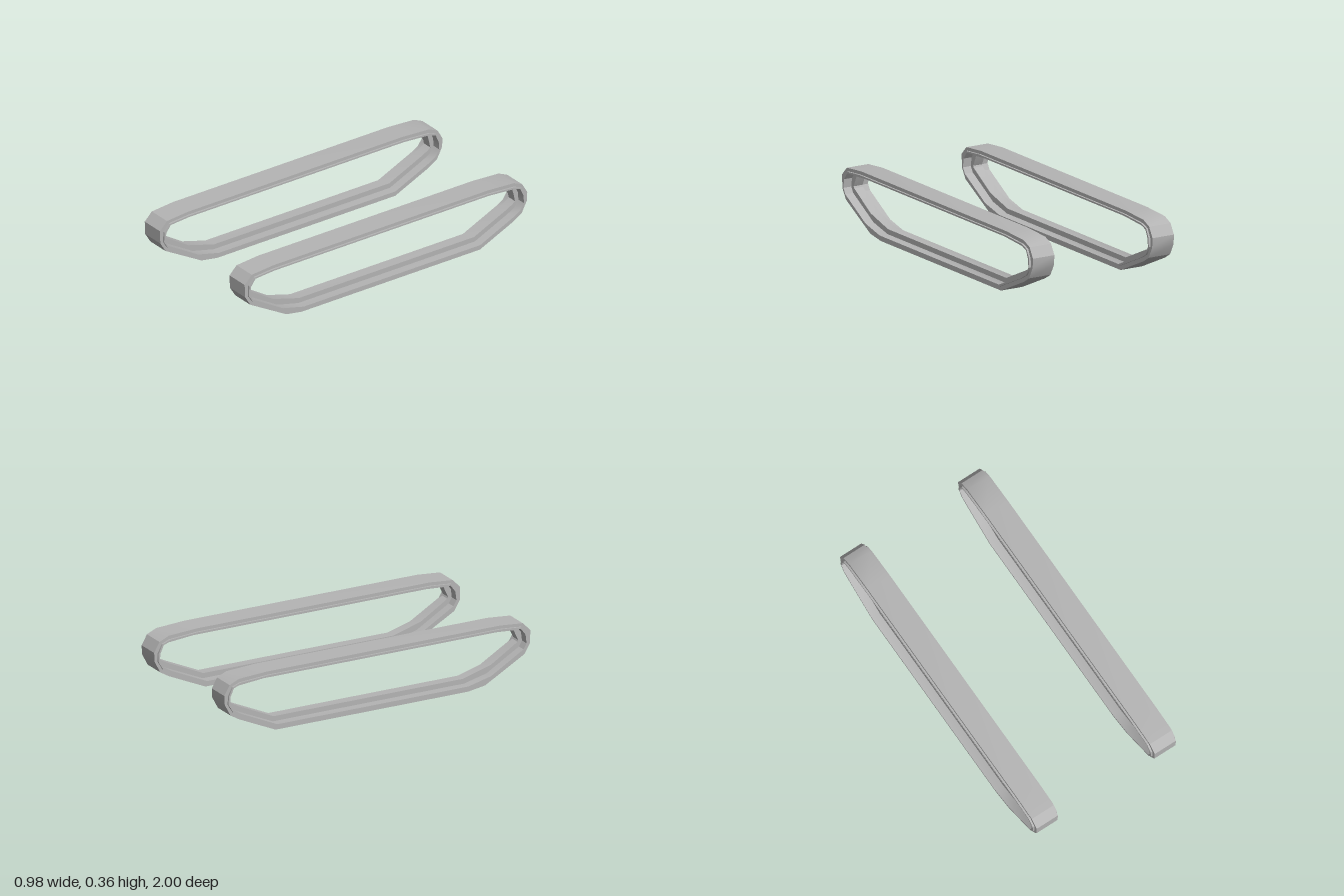
import * as THREE from 'three';
import { toCreasedNormals } from 'three/addons/utils/BufferGeometryUtils.js';

// Side profile of the track as [z, y] pairs: outer face and matching inner face
const OUTER = [[0.95, 0.35], [0.8, 0.363], [-0.72, 0.363], [-0.905, 0.352], [-0.965, 0.325],
  [-1, 0.265], [-0.997, 0.21], [-0.96, 0.14], [-0.905, 0.107], [-0.665, 0],
  [0.595, 0], [0.705, 0.018], [0.96, 0.16], [0.997, 0.22], [1, 0.3]];
const INNER = [[0.915, 0.3], [0.8, 0.308], [-0.72, 0.308], [-0.9, 0.292], [-0.925, 0.288],
  [-0.935, 0.25], [-0.945, 0.205], [-0.925, 0.19], [-0.88, 0.167], [-0.655, 0.066],
  [0.585, 0.066], [0.765, 0.117], [0.94, 0.225], [0.945, 0.235], [0.93, 0.265]];

// Sweeps a line of [x, depth] points round the loop; depth runs 0 (outer) to 1 (inner)
function sweepLoop(section) {
  const pos = [], index = [];
  const n = OUTER.length, m = section.length;
  for (let p = 0; p < n; p++) {
    for (const [x, t] of section) {
      pos.push(x,
        THREE.MathUtils.lerp(OUTER[p][1], INNER[p][1], t),
        THREE.MathUtils.lerp(OUTER[p][0], INNER[p][0], t));
    }
  }
  for (let p = 0; p < n; p++) {
    const q = (p + 1) % n;
    for (let s = 0; s < m - 1; s++) {
      const a = p * m + s, b = a + 1, c = q * m + s + 1, d = q * m + s;
      index.push(a, b, c, a, c, d);
    }
  }
  const geometry = new THREE.BufferGeometry();
  geometry.setAttribute('position', new THREE.Float32BufferAttribute(pos, 3));
  geometry.setIndex(index);
  return toCreasedNormals(geometry, 0.5);
}

export function createModel() {
  const model = new THREE.Group();
  model.name = 'trackPair';
  const grey = new THREE.MeshStandardMaterial({ color: 0xb4b4b4, side: THREE.DoubleSide });
  grey.name = 'trackGrey';

  const tread = 0.0725, rim = 0.0835, guide = 0.03; // half widths
  const step = 0.36, floor = 0.54;                  // depths of the rim's two faces
  const rimLine = [[tread, step], [rim, step], [rim, floor], [guide, floor]];
  const parts = {
    tread: [[-tread, step], [-tread, 0], [tread, 0], [tread, step]],
    leftRim: rimLine,
    rightRim: rimLine.map(([x, t]) => [-x, t]).reverse(),
    guideRidge: [[guide, floor], [guide, 1], [-guide, 1], [-guide, floor]],
  };
  const geometries = Object.entries(parts).map(([name, line]) => [name, sweepLoop(line)]);

  // One complete track on each side
  for (const side of [1, -1]) {
    const track = new THREE.Group();
    track.name = side > 0 ? 'leftTrack' : 'rightTrack';
    for (const [name, geometry] of geometries) {
      const mesh = new THREE.Mesh(geometry, grey);
      mesh.name = name;
      track.add(mesh);
    }
    track.position.x = side * 0.4045;
    model.add(track);
  }
  return model;
}
